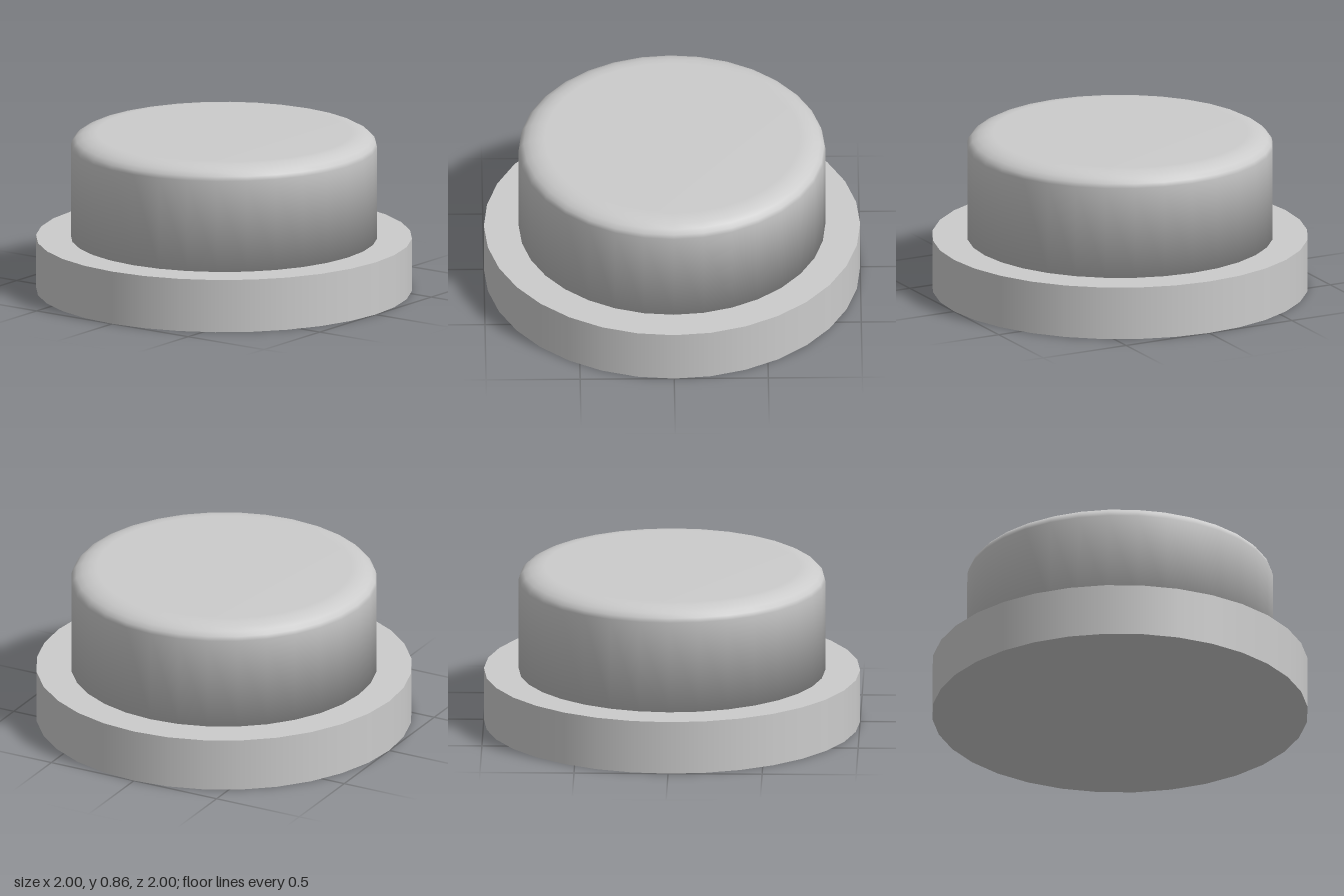
import * as THREE from 'three';

const SIDES = 32;
const BASE_HEIGHT = 0.285;
const TOP = 0.855;
const RADIUS = 0.815;

export function createModel() {
  const group = new THREE.Group();
  const material = new THREE.MeshStandardMaterial({ color: 0xcccccc });

  // Wide flat disc at the bottom
  const base = new THREE.Mesh(new THREE.CylinderGeometry(1, 1, BASE_HEIGHT, SIDES), material);
  base.name = 'base';
  base.position.y = BASE_HEIGHT / 2;
  group.add(base);

  // Raised cap: straight wall, rounded shoulder, flat top
  const roundX = 0.14, roundY = 0.075, steps = 5;
  const profile = [new THREE.Vector2(0, BASE_HEIGHT), new THREE.Vector2(RADIUS, BASE_HEIGHT)];
  for (let i = 0; i <= steps; i++) {
    const a = (i / steps) * Math.PI / 2;
    profile.push(new THREE.Vector2(
      RADIUS - roundX + roundX * Math.cos(a),
      TOP - roundY + roundY * Math.sin(a)
    ));
  }
  profile.push(new THREE.Vector2(0, TOP));
  const cap = new THREE.Mesh(new THREE.LatheGeometry(profile, SIDES), material);
  cap.name = 'buttonCap';
  group.add(cap);

  return group;
}
